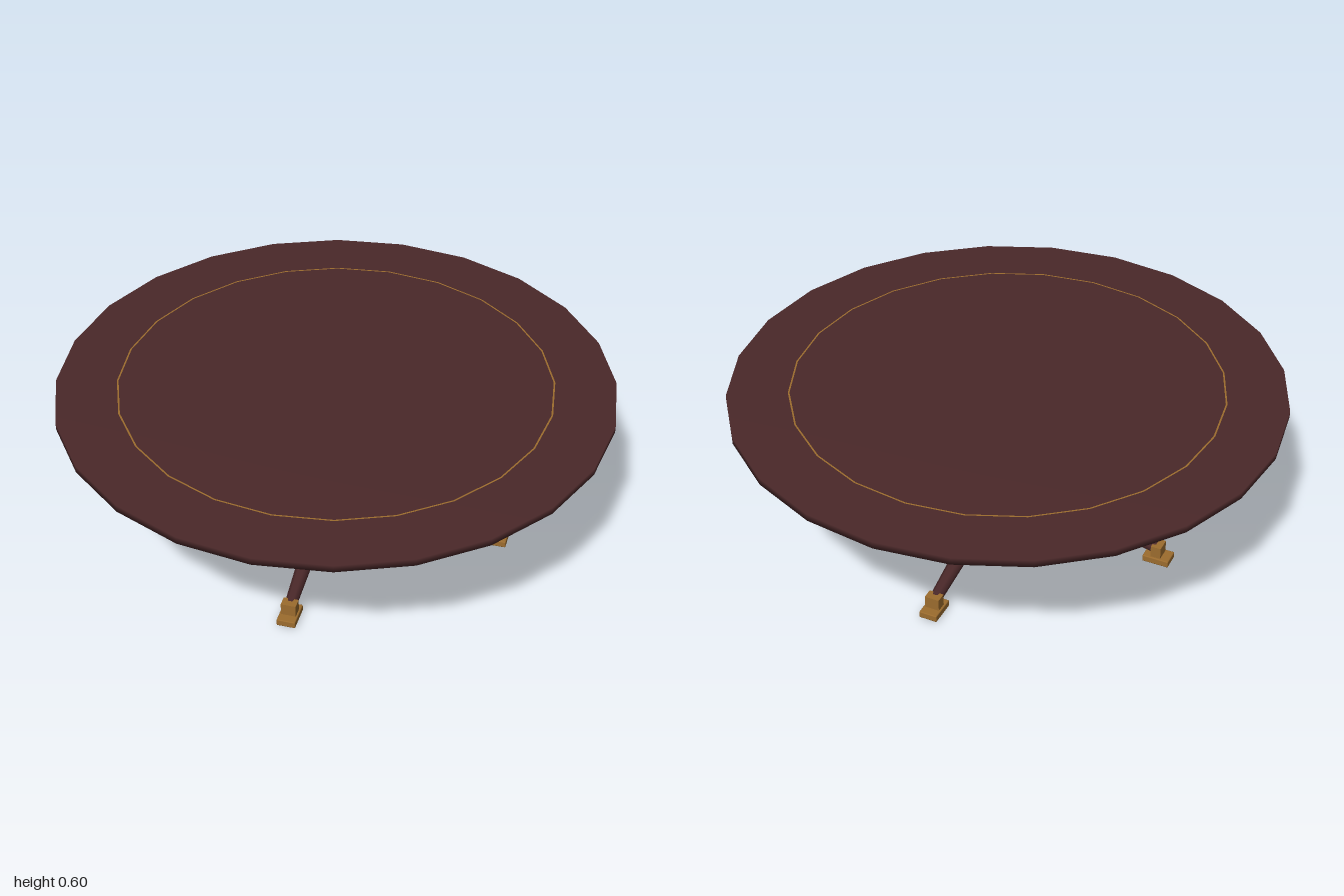
import * as THREE from 'three';
import { toCreasedNormals } from 'three/addons/utils/BufferGeometryUtils.js';
import { RoundedBoxGeometry } from 'three/addons/geometries/RoundedBoxGeometry.js';

const wood = new THREE.MeshStandardMaterial({ color: 0x4a2829 });
wood.name = 'mahogany';
const brass = new THREE.MeshStandardMaterial({ color: 0x9c6c2e });
brass.name = 'brass';

function add(parent, name, geometry, material, x = 0, y = 0, z = 0) {
  const mesh = new THREE.Mesh(geometry, material);
  mesh.name = name;
  mesh.position.set(x, y, z);
  parent.add(mesh);
  return mesh;
}

// Profiles run upwards on the outside
function lathe(points, sides = 24) {
  return new THREE.LatheGeometry(points.map(([r, y]) => new THREE.Vector2(r, y)), sides);
}

export function createModel() {
  const table = new THREE.Group();
  table.name = 'pedestalTable';

  // Round top, softly shaded across its rim
  add(table, 'tableTop', lathe([[0, 0.574], [1, 0.574], [1, 0.6], [0, 0.6]]), wood);

  // Thin inlaid ring
  const inlay = new THREE.RingGeometry(0.776, 0.782, 24).rotateX(-Math.PI / 2);
  add(table, 'inlayRing', inlay, brass, 0, 0.601, 0);

  // Apron hoop below the top
  const hoop = lathe([[0.575, 0.492], [0.62, 0.492], [0.62, 0.554], [0.575, 0.554], [0.575, 0.492]]);
  add(table, 'apron', toCreasedNormals(hoop, 0.6), wood);

  // Diagonal bearers joining column and apron
  for (let i = 0; i < 2; i++) {
    const bearer = add(table, 'bearer', new THREE.BoxGeometry(1.16, 0.04, 0.04), wood, 0, 0.53, 0);
    bearer.rotation.y = Math.PI / 4 + i * Math.PI / 2;
  }

  // Waisted column with flared cap
  const column = lathe([
    [0.085, 0.2], [0.082, 0.24], [0.072, 0.29], [0.064, 0.34], [0.063, 0.38],
    [0.069, 0.42], [0.076, 0.45], [0.085, 0.47], [0.105, 0.49], [0.105, 0.55], [0, 0.55],
  ]);
  add(table, 'column', toCreasedNormals(column, 0.7), wood);
  const collar = new THREE.TorusGeometry(0.079, 0.007, 8, 24).rotateX(Math.PI / 2);
  add(table, 'collar', collar, brass, 0, 0.457, 0);

  // Chamfered hub
  const hub = new RoundedBoxGeometry(0.24, 0.12, 0.24, 1, 0.022);
  add(table, 'hub', hub, wood, 0, 0.175, 0);

  // Four tapering legs with brass feet
  const start = new THREE.Vector3(0.08, 0.172, 0);
  const end = new THREE.Vector3(0.617, 0.046, 0);
  const direction = end.clone().sub(start);
  for (let i = 0; i < 4; i++) {
    const leg = new THREE.Group();
    leg.name = 'leg';
    leg.rotation.y = i * Math.PI / 2;
    table.add(leg);

    const shaft = new THREE.CylinderGeometry(0.021, 0.038, direction.length(), 8);
    shaft.rotateY(Math.PI / 8);
    const middle = start.clone().add(end).multiplyScalar(0.5);
    const limb = add(leg, 'legShaft', shaft, wood, middle.x, middle.y, 0);
    limb.quaternion.setFromUnitVectors(new THREE.Vector3(0, 1, 0), direction.clone().normalize());

    add(leg, 'footCup', new THREE.BoxGeometry(0.038, 0.048, 0.054), brass, 0.604, 0.047, 0);
    add(leg, 'footPlate', new RoundedBoxGeometry(0.1, 0.026, 0.068, 1, 0.004), brass, 0.606, 0.013, 0);
  }

  return table;
}
